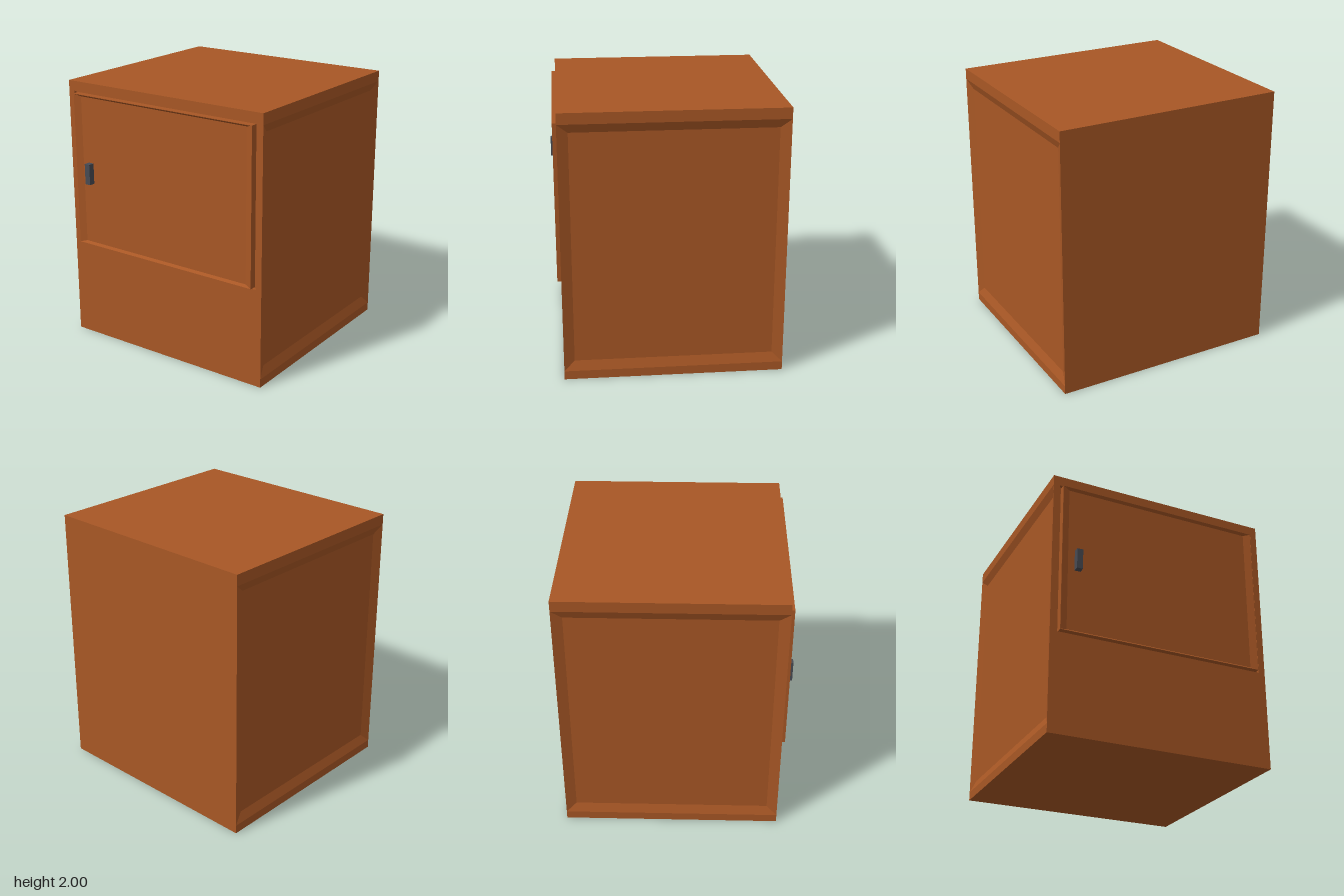
import * as THREE from 'three';

const X = 0.855, H = 2, BACK = -0.83, FRONT = 0.775;

// Nested rectangles [u0, u1, v0, v1, depth] joined by quads; the last one is capped.
function steppedPanel(loops) {
  const pos = [];
  const corners = ([u0, u1, v0, v1, d]) => [[u0, v0, d], [u1, v0, d], [u1, v1, d], [u0, v1, d]];
  const quad = (a, b, c, d) => pos.push(...a, ...b, ...c, ...a, ...c, ...d);
  for (let i = 0; i < loops.length - 1; i++) {
    const o = corners(loops[i]), n = corners(loops[i + 1]);
    for (let k = 0; k < 4; k++) quad(o[k], o[(k + 1) % 4], n[(k + 1) % 4], n[k]);
  }
  quad(...corners(loops[loops.length - 1]));
  const g = new THREE.BufferGeometry();
  g.setAttribute('position', new THREE.Float32BufferAttribute(pos, 3));
  g.computeVertexNormals();
  return g;
}

export function createModel() {
  const model = new THREE.Group();
  model.name = 'cabinet';
  const brown = new THREE.MeshStandardMaterial({ color: 0xa85725 });
  const slate = new THREE.MeshStandardMaterial({ color: 0x484b53 });

  const cabinet = new THREE.Group();
  cabinet.name = 'body';
  model.add(cabinet);
  const add = (parent, name, geometry, material = brown) => {
    const mesh = new THREE.Mesh(geometry, material);
    mesh.name = name;
    parent.add(mesh);
    return mesh;
  };

  // Front panel with a shallow opening around the door
  add(cabinet, 'frontPanel', steppedPanel([
    [-X, X, 0, H, FRONT],
    [-0.807, 0.805, 0.743, 1.925, FRONT],
    [-0.807, 0.805, 0.743, 1.925, FRONT - 0.025],
  ]));

  // Plain back, top and bottom
  add(cabinet, 'backPanel', steppedPanel([[-X, X, 0, H, -BACK]])).rotation.y = Math.PI;
  add(cabinet, 'topPanel', steppedPanel([[-X, X, -FRONT, -BACK, H]])).rotation.x = -Math.PI / 2;
  add(cabinet, 'bottomPanel', steppedPanel([[-X, X, BACK, FRONT, 0]])).rotation.x = Math.PI / 2;

  // Side panels with a bevelled recess
  for (const s of [1, -1]) {
    const u0 = s > 0 ? -FRONT : BACK, u1 = s > 0 ? -BACK : FRONT;
    add(cabinet, s > 0 ? 'leftPanel' : 'rightPanel', steppedPanel([
      [u0, u1, 0, H, X],
      [u0, u1, 0.065, 1.92, X],
      [u0 + 0.077, u1 - 0.077, 0.137, 1.857, X - 0.025],
    ])).rotation.y = s * Math.PI / 2;
  }

  // Door with a bevelled recess
  add(model, 'door', steppedPanel([
    [-0.79, 0.785, 0.75, 1.913, FRONT - 0.025],
    [-0.79, 0.785, 0.75, 1.913, 0.803],
    [-0.787, 0.782, 0.753, 1.91, 0.803],
    [-0.735, 0.73, 0.768, 1.895, 0.783],
  ]));

  // Handle
  add(model, 'handle', new THREE.BoxGeometry(0.045, 0.157, 0.05), slate).position.set(-0.662, 1.319, 0.805);
  return model;
}
